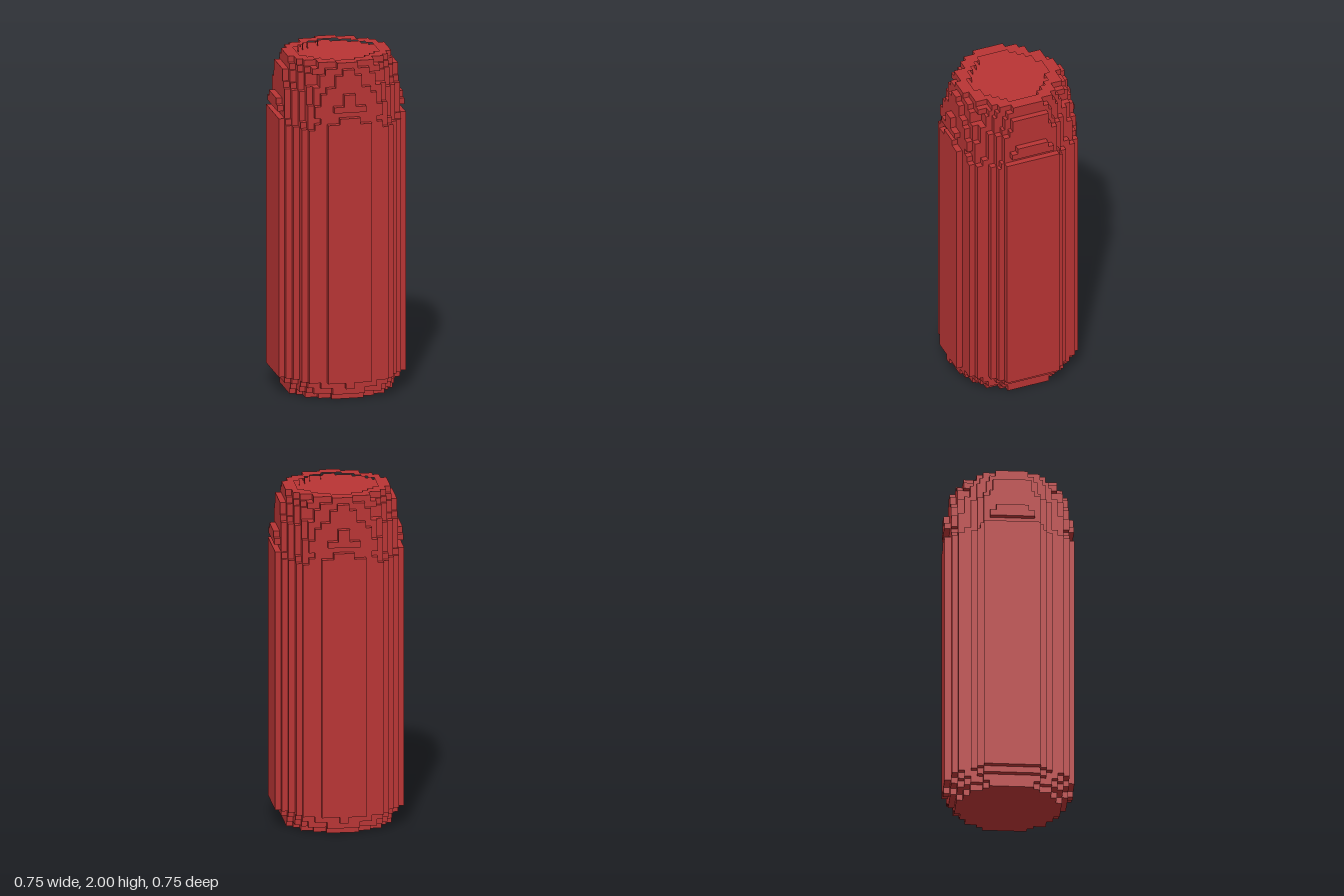
import * as THREE from 'three';

const red = new THREE.MeshStandardMaterial({ color: 0xb83434 });
red.name = 'red';

// Stepped outline from one quadrant: each [x, z] says "out to x, the depth is z"
function outline(steps) {
  const q = [];
  steps.forEach(([x, z], i) => {
    q.push([x, z]);
    if (i + 1 < steps.length) q.push([x, steps[i + 1][1]]);
  });
  const back = [...q].reverse();
  return [
    ...q,
    ...back.map(([x, z]) => [x, -z]),
    ...q.map(([x, z]) => [-x, -z]),
    ...back.map(([x, z]) => [-x, z]),
  ].map(([x, z]) => new THREE.Vector2(x, z));
}

function addLayer(group, name, y0, y1, steps, hole) {
  const shape = new THREE.Shape(outline(steps));
  if (hole) shape.holes.push(new THREE.Path(outline(hole)));
  const geo = new THREE.ExtrudeGeometry(shape, { depth: y1 - y0, bevelEnabled: false });
  geo.rotateX(-Math.PI / 2);
  const mesh = new THREE.Mesh(geo, red);
  mesh.name = name;
  mesh.position.y = y0;
  group.add(mesh);
}

export function createModel() {
  const model = new THREE.Group();
  model.name = 'blockCan';

  // Outlines of the stacked steps
  const rim = [[0.06, 0.304], [0.164, 0.269], [0.234, 0.199], [0.269, 0.164], [0.304, 0.094]];
  const recess = [[0.06, 0.234], [0.129, 0.199], [0.164, 0.164], [0.199, 0.129], [0.234, 0.094]];
  const foot = [[0.094, 0.304], [0.164, 0.269], [0.234, 0.234], [0.269, 0.164], [0.304, 0.129]];
  const body = [[0.129, 0.374], [0.234, 0.339], [0.269, 0.304], [0.304, 0.234], [0.339, 0.199], [0.374, 0.164]];

  // Stepped base
  addLayer(model, 'baseBottom', 0, 0.036, foot);
  addLayer(model, 'baseMiddle', 0.036, 0.074, [[0.094, 0.339], [0.199, 0.304], [0.234, 0.269], [0.269, 0.234], [0.304, 0.164]]);
  addLayer(model, 'baseTop', 0.074, 0.11, [[0.024, 0.374], [0.164, 0.339], [0.234, 0.304], [0.269, 0.269], [0.304, 0.199], [0.339, 0.164]]);

  // Straight body
  addLayer(model, 'body', 0.11, 1.615, body);

  // Shoulder and groove
  addLayer(model, 'shoulder', 1.615, 1.65, [[0.129, 0.374], [0.199, 0.339], [0.234, 0.304], [0.269, 0.269], [0.304, 0.199], [0.339, 0.182], [0.374, 0.164]]);
  addLayer(model, 'grooveLower', 1.65, 1.685, [[0.06, 0.374], [0.164, 0.339], [0.234, 0.304], [0.269, 0.234], [0.304, 0.199], [0.339, 0.164]]);
  addLayer(model, 'grooveUpper', 1.685, 1.72, [[0.199, 0.339], [0.234, 0.304], [0.269, 0.234], [0.304, 0.199], [0.339, 0.164], [0.374, 0.129]]);

  // Neck tapering to the rim
  addLayer(model, 'neckBottom', 1.72, 1.755, [[0.094, 0.374], [0.199, 0.339], [0.234, 0.304], [0.269, 0.234], [0.304, 0.199], [0.339, 0.164], [0.374, 0.094]]);
  addLayer(model, 'neckLower', 1.755, 1.825, [[0.034, 0.374], [0.164, 0.339], [0.199, 0.304], [0.234, 0.269], [0.269, 0.234], [0.304, 0.199], [0.339, 0.164]]);
  addLayer(model, 'neckMiddle', 1.825, 1.86, [[0.129, 0.339], [0.199, 0.304], [0.234, 0.269], [0.269, 0.199], [0.304, 0.164], [0.339, 0.129]]);
  addLayer(model, 'neckUpper', 1.86, 1.93, [[0.077, 0.339], [0.164, 0.304], [0.234, 0.234], [0.269, 0.199], [0.304, 0.147], [0.339, 0.111]]);
  addLayer(model, 'neckTop', 1.93, 1.965, [[0.034, 0.339], [0.129, 0.304], [0.199, 0.269], [0.234, 0.217], [0.269, 0.182], [0.304, 0.129]]);

  // Raised rim around the sunken lid
  addLayer(model, 'rim', 1.965, 2, rim, recess);
  return model;
}
